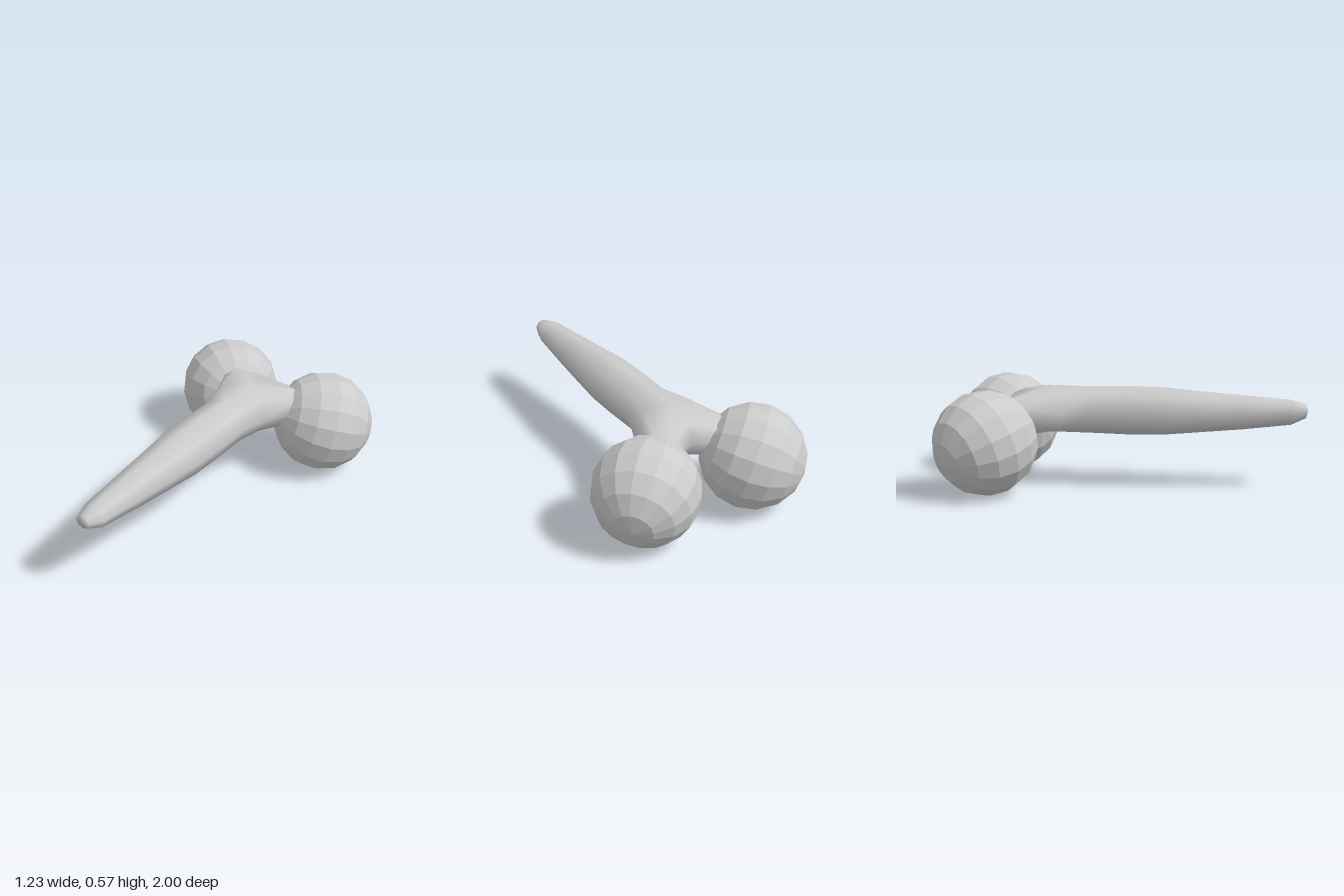
import * as THREE from 'three';
import { mergeVertices } from 'three/addons/utils/BufferGeometryUtils.js';

const SIDES = 8;
const V = (x, y, z) => new THREE.Vector3(x, y, z);

// One octagonal ring of the shaft, starting at the top and turning towards +x
function shaftRing([z, y, rx, ry]) {
  return Array.from({ length: SIDES }, (_, j) => {
    const a = (j / SIDES) * Math.PI * 2;
    return V(rx * Math.sin(a), y + ry * Math.cos(a), z);
  });
}

// Join successive rings with triangles; side = -1 mirrors across x
function loft(out, rings, side = 1) {
  const tri = (a, b, c) => {
    for (const p of side > 0 ? [a, b, c] : [a, c, b]) {
      out.push(Math.abs(p.x) < 1e-6 ? 0 : p.x * side, p.y, p.z);
    }
  };
  for (let i = 0; i + 1 < rings.length; i++) {
    for (let j = 0; j < SIDES; j++) {
      const k = (j + 1) % SIDES;
      const [a, b, c, d] = [rings[i][j], rings[i][k], rings[i + 1][k], rings[i + 1][j]];
      tri(a, b, d);
      tri(b, c, d);
    }
  }
}

function forkedBody() {
  // Seam where the shaft divides: top, side, bottom of the +x half
  const seam = [
    V(0, 0.555, -0.43), V(0.135, 0.525, -0.36), V(0.18, 0.42, -0.33),
    V(0.125, 0.32, -0.36), V(0, 0.292, -0.43),
  ];
  const seamRing = [...seam, ...[3, 2, 1].map((j) => V(-seam[j].x, seam[j].y, seam[j].z))];

  // Shaft sections from tip to fork: z, centre y, half width, half height
  const sections = [
    [1.0, 0.435, 0, 0], [0.99, 0.435, 0.045, 0.038], [0.91, 0.427, 0.075, 0.069],
    [0.65, 0.422, 0.102, 0.095], [0.4, 0.42, 0.127, 0.116], [0.2, 0.42, 0.145, 0.134],
    [0, 0.42, 0.147, 0.136], [-0.2, 0.42, 0.145, 0.131],
  ];
  const points = [];
  loft(points, [...sections.map(shaftRing), seamRing]);

  // Each arm starts from half the seam plus the crotch and ends inside a ball
  const crotch = [V(0, 0.33, -0.59), V(0, 0.42, -0.64), V(0, 0.52, -0.6)];
  const u = V(0.65, 0, 0.75), w = V(0.19, 0.96, -0.17);
  const armEnd = Array.from({ length: SIDES }, (_, j) => {
    const a = (j / SIDES) * Math.PI * 2, c = Math.cos(a);
    return V(0.195, 0.4, -0.605)
      .addScaledVector(u, 0.1 * Math.sin(a))
      .addScaledVector(w, (c > 0 ? 0.105 : 0.118) * c);
  });
  for (const side of [1, -1]) loft(points, [[...seam, ...crotch], armEnd], side);

  const raw = new THREE.BufferGeometry();
  raw.setAttribute('position', new THREE.Float32BufferAttribute(points, 3));
  const geometry = mergeVertices(raw, 1e-4);
  geometry.computeVertexNormals();
  return geometry;
}

export function createModel() {
  const group = new THREE.Group();

  const body = new THREE.Mesh(
    forkedBody(),
    new THREE.MeshStandardMaterial({ color: 0xcccccc, side: THREE.DoubleSide }),
  );
  body.name = 'forkedShaft';
  group.add(body);

  // Faceted balls, with poles along the arm directions
  const ballMaterial = new THREE.MeshStandardMaterial({ color: 0xcccccc, flatShading: true });
  const ballGeometry = new THREE.SphereGeometry(0.285, 16, 8);
  for (const side of [1, -1]) {
    const ball = new THREE.Mesh(ballGeometry, ballMaterial);
    ball.name = side > 0 ? 'leftBall' : 'rightBall';
    ball.position.set(side * 0.33, 0.286, -0.72);
    ball.quaternion.setFromUnitVectors(V(0, 1, 0), V(side * 0.7, -0.27, -0.64).normalize());
    group.add(ball);
  }
  return group;
}
